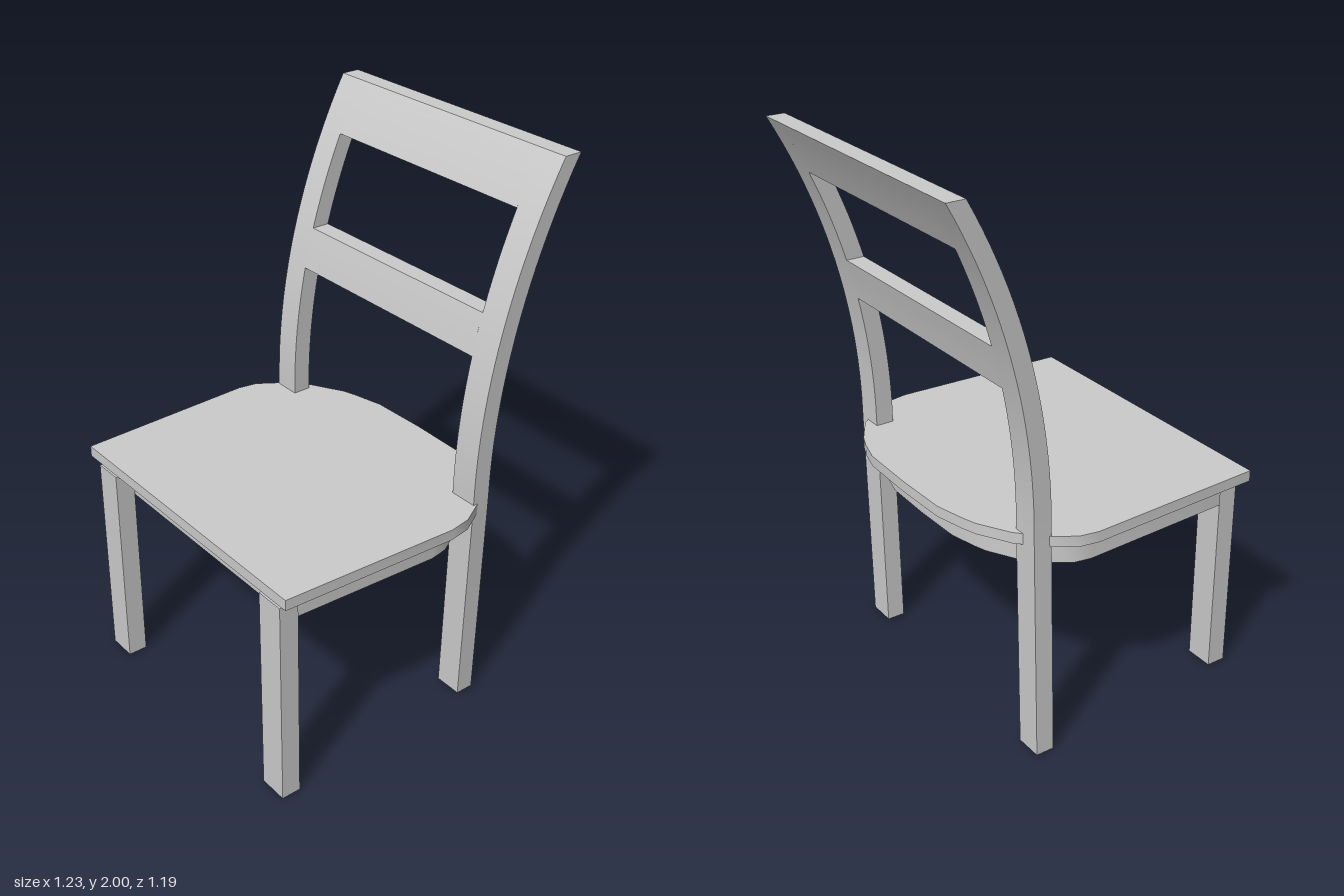
import * as THREE from 'three';
import { toCreasedNormals } from 'three/addons/utils/BufferGeometryUtils.js';

const material = new THREE.MeshStandardMaterial({ color: 0xcccccc });

// Seat outline as [x, z], running from the front left corner round the back
const OUTLINE = [
  [0.582, 0.585], [0.613, -0.08], [0.6, -0.16], [0.55, -0.25], [0.49, -0.325],
  [0.39, -0.388], [0.335, -0.41], [0.25, -0.433], [0.035, -0.438], [-0.18, -0.433],
  [-0.29, -0.407], [-0.345, -0.39], [-0.46, -0.325], [-0.545, -0.245],
  [-0.6, -0.162], [-0.613, -0.09], [-0.585, 0.585],
];
const SEAT_CENTRE_Z = 0.075;

function outlinePoints(sx, sz) {
  return OUTLINE.map(([x, z]) =>
    new THREE.Vector2(x * sx, -(SEAT_CENTRE_Z + (z - SEAT_CENTRE_Z) * sz)));
}

function addMesh(parent, name, geometry) {
  const mesh = new THREE.Mesh(geometry, material);
  mesh.name = name;
  parent.add(mesh);
  return mesh;
}

// Horizontal slab between two heights
function slab(shape, y0, y1) {
  const g = new THREE.ExtrudeGeometry(shape, { depth: y1 - y0, bevelEnabled: false });
  g.rotateX(-Math.PI / 2).translate(0, y0, 0);
  return toCreasedNormals(g, 0.6);
}

// The back is upright up to BEND_Y, then sweeps backwards along an arc
const BEND_Y = 0.86, RADIUS = 2.33;
const sweep = (y) => {
  const d = Math.max(0, y - BEND_Y);
  return RADIUS - Math.sqrt(RADIUS * RADIUS - d * d);
};
const lean = (y) => (y < 0.83 ? -0.025 * (1 - y / 0.83) : 0.01 * (y - 0.83) / 1.17);

// Box of the chair back, bent by the sweep and lean
function backPiece(x0, x1, y0, y1) {
  const rows = Math.max(3, Math.round((y1 - y0) / 0.05));
  const g = new THREE.BoxGeometry(x1 - x0, y1 - y0, 0.068, 1, rows, 1);
  g.translate((x0 + x1) / 2, (y0 + y1) / 2, -0.267);
  const p = g.attributes.position;
  for (let i = 0; i < p.count; i++) {
    const y = p.getY(i);
    p.setX(i, p.getX(i) + lean(y));
    p.setZ(i, p.getZ(i) - sweep(y));
  }
  return toCreasedNormals(g, 0.5);
}

export function createModel() {
  const chair = new THREE.Group();
  chair.name = 'chair';

  // Seat board with rounded back
  addMesh(chair, 'seat', slab(new THREE.Shape(outlinePoints(1, 1)), 0.79, 0.83));

  // Thin apron ring following the seat outline
  const ring = new THREE.Shape(outlinePoints(0.886, 0.863));
  ring.holes.push(new THREE.Path(outlinePoints(0.856, 0.828)));
  addMesh(chair, 'apron', slab(ring, 0.685, 0.79));

  // Straight front legs
  for (const [name, x] of [['leftFrontLeg', 0.508], ['rightFrontLeg', -0.457]]) {
    addMesh(chair, name, new THREE.BoxGeometry(0.108, 0.79, 0.072))
      .position.set(x, 0.395, 0.557);
  }

  // Back: two posts running to the floor, joined by two rails
  const back = new THREE.Group();
  back.name = 'back';
  addMesh(back, 'leftBackPost', backPiece(0.445, 0.549, 0, 2));
  addMesh(back, 'rightBackPost', backPiece(-0.547, -0.447, 0, 2));
  addMesh(back, 'middleRail', backPiece(-0.447, 0.445, 1.34, 1.488));
  addMesh(back, 'topRail', backPiece(-0.447, 0.445, 1.82, 2));
  chair.add(back);

  return chair;
}
